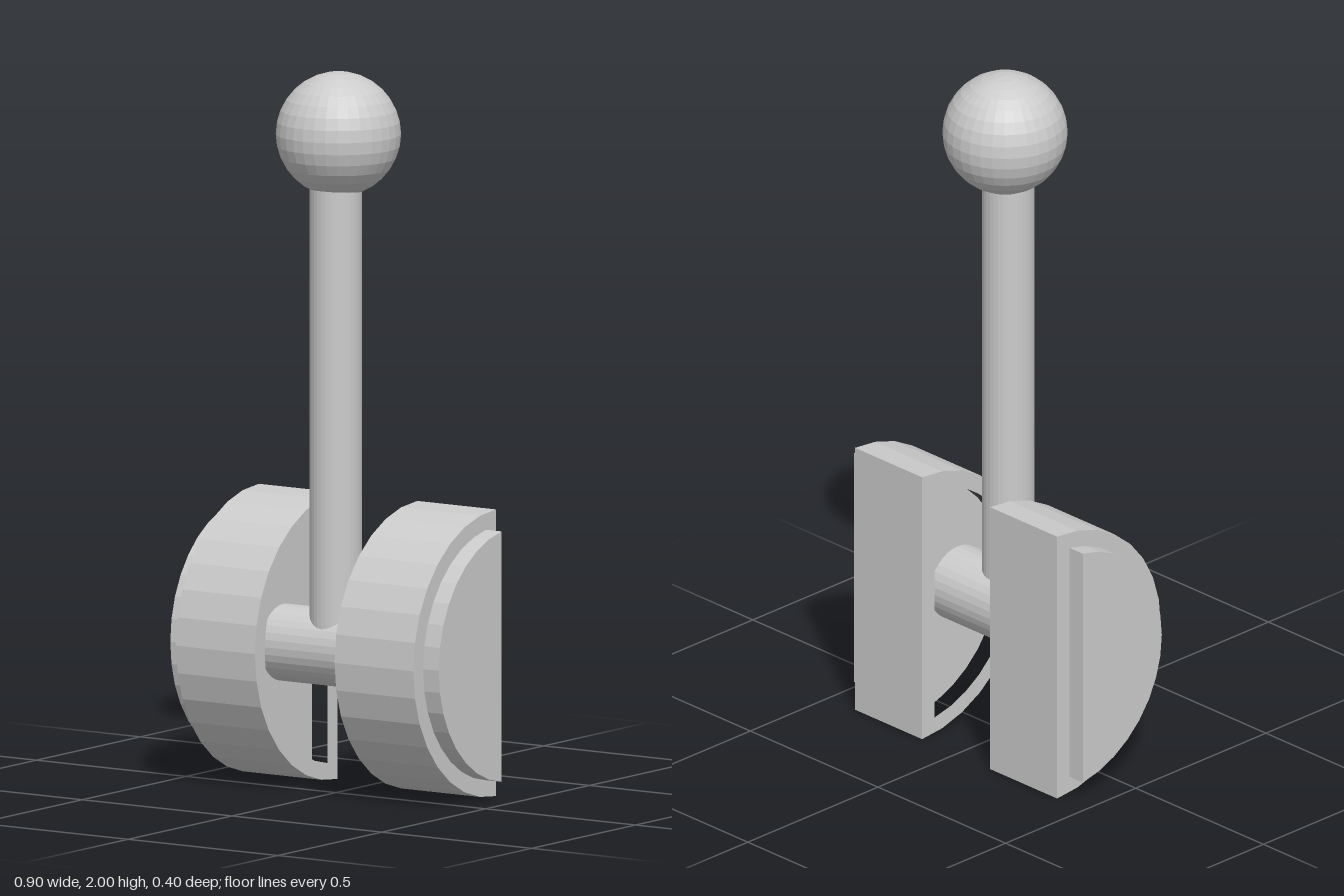
import * as THREE from 'three';

const AXIS_Y = 0.398, FLAT_Z = -0.2;

// Half-disc outline; "cut" moves the flat edge in from the circle's centre
function halfDisc(r, cut, Path = THREE.Shape) {
  const max = Math.acos(cut / r), pts = [];
  for (let i = 0; i <= 16; i++) {
    const a = -max + (2 * max * i) / 16;
    pts.push(new THREE.Vector2(-FLAT_Z - r * Math.cos(a), AXIS_Y + r * Math.sin(a)));
  }
  return new Path(pts);
}

export function createModel() {
  const model = new THREE.Group();
  model.name = 'halfWheelLever';
  const material = new THREE.MeshStandardMaterial({ color: 0xcccccc, flatShading: true });

  function add(name, geometry, x = 0, y = 0, z = 0, parent = model) {
    const mesh = new THREE.Mesh(geometry, material);
    mesh.name = name;
    mesh.position.set(x, y, z);
    parent.add(mesh);
    return mesh;
  }

  // Extrude a side outline along +x
  const slab = (shape, width) =>
    new THREE.ExtrudeGeometry(shape, { depth: width, bevelEnabled: false }).rotateY(Math.PI / 2);

  // Half wheels: hollow rim with a core shifted outward, leaving a recess inside
  const width = 0.263;
  const rimShape = halfDisc(0.398, 0);
  rimShape.holes.push(halfDisc(0.351, 0.048, THREE.Path));
  const rim = slab(rimShape, width);
  const core = slab(halfDisc(0.351, 0.048), width);
  for (const side of [1, -1]) {
    const wheel = new THREE.Group();
    wheel.name = side > 0 ? 'leftHalfWheel' : 'rightHalfWheel';
    add('rim', rim, side > 0 ? 0.133 : -0.133 - width, 0, 0, wheel);
    add('core', core, side > 0 ? 0.185 : -0.185 - width, 0, 0, wheel);
    model.add(wheel);
  }

  // Axle between the wheels
  add('axle', new THREE.CylinderGeometry(0.106, 0.106, 0.38, 32).rotateZ(Math.PI / 2), 0, 0.4, -0.013);

  // Upright stem and ball knob
  add('stem', new THREE.CylinderGeometry(0.072, 0.072, 1.34, 32), 0, 1.08, 0);
  add('knob', new THREE.SphereGeometry(0.172, 32, 16), 0, 1.828, -0.012);

  return model;
}
